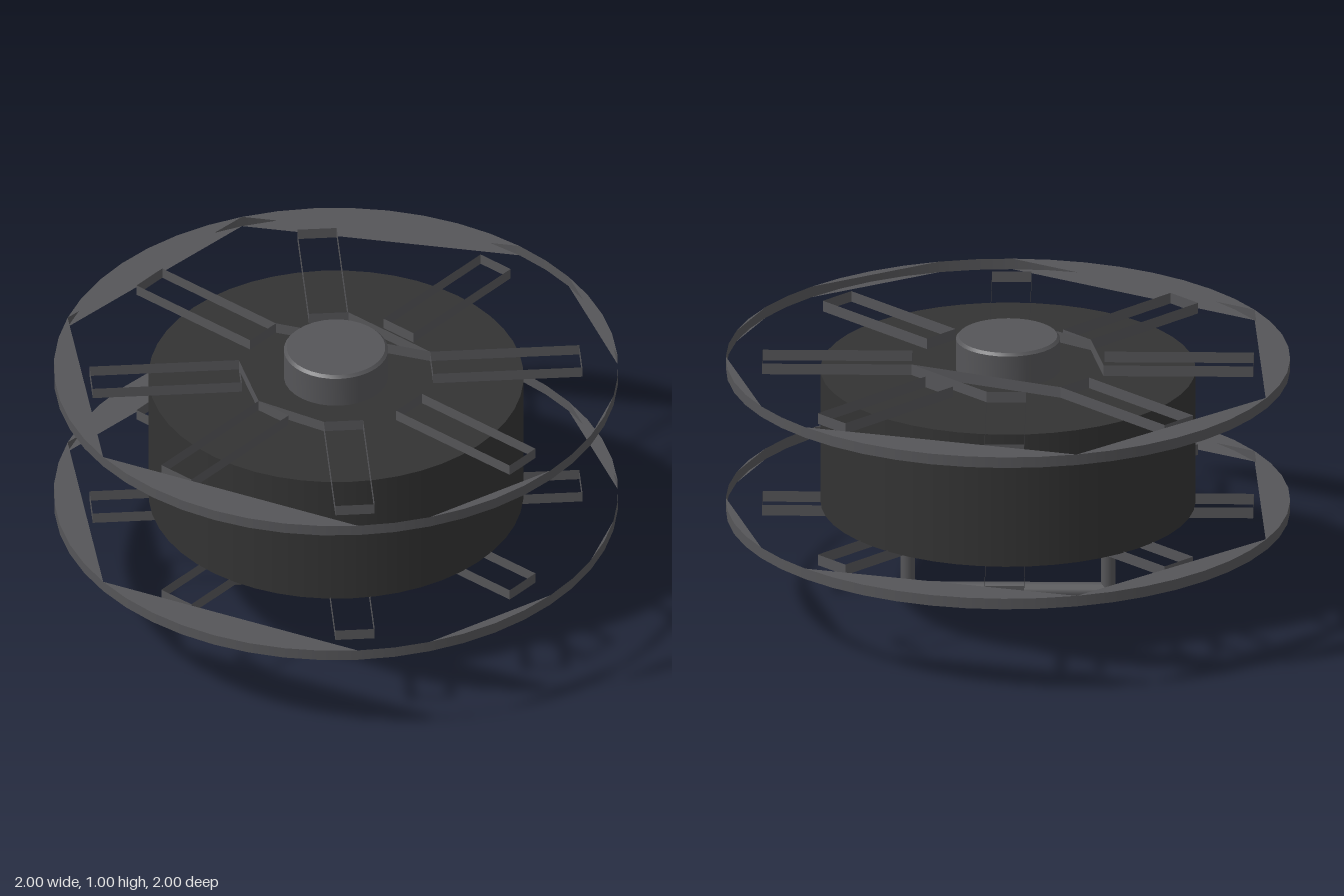
import * as THREE from 'three';
import { toCreasedNormals } from 'three/addons/utils/BufferGeometryUtils.js';

const rad = THREE.MathUtils.degToRad;

export function createModel() {
  const model = new THREE.Group();
  model.name = 'reel';
  const darkWinding = new THREE.MeshStandardMaterial({ color: 0x333333 });
  darkWinding.name = 'dark winding';
  const greyMetal = new THREE.MeshStandardMaterial({ color: 0x555558, side: THREE.DoubleSide });
  greyMetal.name = 'grey metal';

  const add = (parent, name, geometry, material, x = 0, y = 0, z = 0) => {
    const mesh = new THREE.Mesh(geometry, material);
    mesh.name = name;
    mesh.position.set(x, y, z);
    parent.add(mesh);
    return mesh;
  };

  // Wound drum
  add(model, 'drum', new THREE.CylinderGeometry(0.665, 0.665, 0.5, 48), darkWinding, 0, 0.62);

  // Hub with softened edges
  const hubProfile = [[0, 0.25], [0.175, 0.25], [0.185, 0.26], [0.185, 0.985], [0.175, 0.995], [0, 0.995]]
    .map(([r, y]) => new THREE.Vector2(r, y));
  add(model, 'hub', toCreasedNormals(new THREE.LatheGeometry(hubProfile, 32), rad(30)), greyMetal);

  // Flange measurements: thickness, slot ends and half width
  const T = 0.04, IN = 0.34, OUT = 0.87, HALF = 0.07;
  const edgePlates = [[45, 105], [105, 157.5], [157.5, 210], [210, 270], [285, 315], [330, 345], [0, 30]];
  const cornerAngle = (Math.atan2(HALF, IN) * 180) / Math.PI;
  const cornerRadius = Math.hypot(IN, HALF);
  // Webs between the inner corners of the slots, as [slot, side] pairs
  const webs = [[[0, 1], [135, -1]], [[0, 1], [90, -1]], [[180, -1], [225, -1]], [[225, -1], [270, -1]]];

  // Upright thin strip between two points in plan
  const strip = (parent, name, ax, az, bx, bz) => {
    const length = Math.hypot(bx - ax, bz - az);
    const mesh = add(parent, name, new THREE.PlaneGeometry(length, T), greyMetal, (ax + bx) / 2, 0, (az + bz) / 2);
    mesh.rotation.y = -Math.atan2(bz - az, bx - ax);
  };

  for (const [name, y] of [['lowerFlange', 0.355], ['upperFlange', 0.89]]) {
    const flange = new THREE.Group();
    flange.name = name;
    flange.position.y = y;
    model.add(flange);

    add(flange, 'rim', new THREE.CylinderGeometry(1, 1, T, 48, 1, true), greyMetal);

    // Crescent plates along the rim, on both faces
    for (const [from, to] of edgePlates) {
      const points = [];
      for (let a = from; a <= to; a += 7.5) {
        points.push(new THREE.Vector2(Math.cos(rad(a)), Math.sin(rad(a))));
      }
      // Thin out two-step arcs are still valid triangles
      for (const side of [-1, 1]) {
        const plate = new THREE.ShapeGeometry(new THREE.Shape(points)).rotateX(-Math.PI / 2);
        add(flange, 'edgePlate', plate, greyMetal, 0, side * T / 2);
      }
    }

    // Eight radial slot frames
    for (let i = 0; i < 8; i++) {
      const slot = new THREE.Group();
      slot.name = 'slotFrame';
      slot.rotation.y = (i * Math.PI) / 4;
      flange.add(slot);
      for (const s of [-1, 1]) strip(slot, 'slotSide', IN, s * HALF, OUT, s * HALF);
      for (const r of [IN, OUT]) strip(slot, 'slotEnd', r, -HALF, r, HALF);
    }

    // Webs around the hub
    for (const pair of webs) {
      const [a, b] = pair.map(([angle, side]) => {
        const t = rad(angle + side * cornerAngle);
        return [cornerRadius * Math.cos(t), -cornerRadius * Math.sin(t)];
      });
      strip(flange, 'web', a[0], a[1], b[0], b[1]);
    }
  }

  // Handle under the reel
  const handle = new THREE.Group();
  handle.name = 'handle';
  model.add(handle);
  for (const s of [-1, 1]) {
    add(handle, 'handlePost', new THREE.CylinderGeometry(0.025, 0.025, 0.31, 12), greyMetal, s * 0.355, 0.19);
  }
  const grip = new THREE.CylinderGeometry(0.031, 0.031, 0.75, 12).rotateZ(Math.PI / 2);
  add(handle, 'handleGrip', grip, greyMetal, 0, 0.031);

  return model;
}
